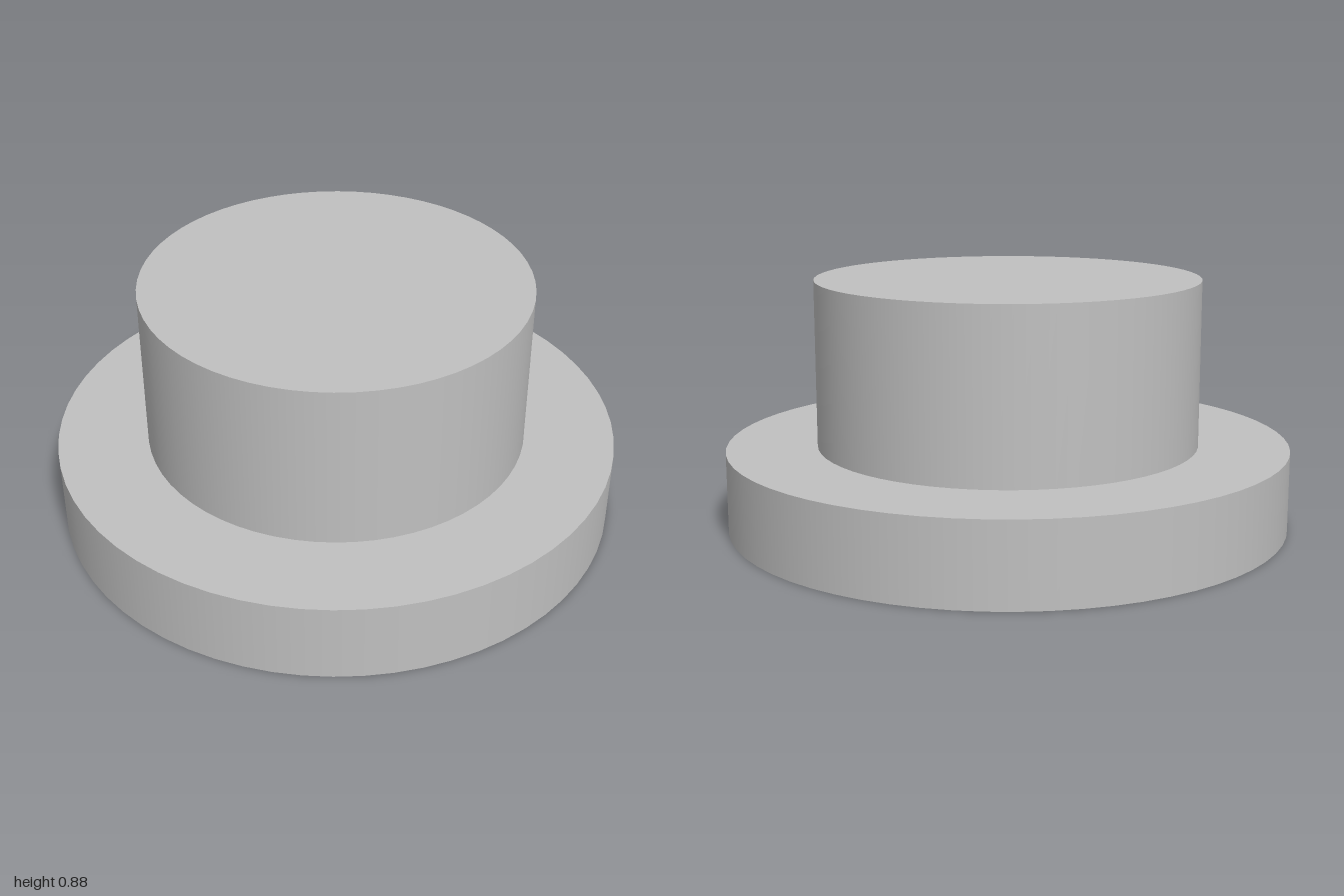
import * as THREE from 'three';

const SEG = 64;
const FLANGE_R = 1, FLANGE_TOP = 0.285;
const BOSS_R = 0.68, BOSS_TOP = 0.875;
const SOCKET_HALF = 0.4, SOCKET_DEPTH = 0.5;

export function createModel() {
  const model = new THREE.Group();
  model.name = 'flangedPlug';
  const grey = new THREE.MeshStandardMaterial({ name: 'plain grey', color: 0xc0c0c0 });

  const add = (name, geometry, parent = model) => {
    const mesh = new THREE.Mesh(geometry, grey);
    mesh.name = name;
    parent.add(mesh);
    return mesh;
  };
  const wall = (r, y0, y1) =>
    new THREE.CylinderGeometry(r, r, y1 - y0, SEG, 1, true).translate(0, (y0 + y1) / 2, 0);

  // Wide flange: rim and the upper ledge around the boss
  add('flangeRim', wall(FLANGE_R, 0, FLANGE_TOP));
  add('flangeLedge', new THREE.RingGeometry(BOSS_R, FLANGE_R, SEG)
    .rotateX(-Math.PI / 2).translate(0, FLANGE_TOP, 0));

  // Boss: side wall and flat top
  add('bossSide', wall(BOSS_R, FLANGE_TOP, BOSS_TOP));
  add('bossTop', new THREE.CircleGeometry(BOSS_R, SEG)
    .rotateX(-Math.PI / 2).translate(0, BOSS_TOP, 0));

  // Underside with a square opening
  const h = SOCKET_HALF;
  const underside = new THREE.Shape().absarc(0, 0, FLANGE_R, 0, Math.PI * 2);
  underside.holes.push(new THREE.Path([[-h, -h], [-h, h], [h, h], [h, -h]]
    .map(([x, y]) => new THREE.Vector2(x, y))));
  add('flangeUnderside', new THREE.ShapeGeometry(underside, SEG).rotateX(Math.PI / 2));

  // Blind square socket: four inward-facing walls and a ceiling
  const socket = new THREE.Group();
  socket.name = 'squareSocket';
  model.add(socket);
  for (let i = 0; i < 4; i++) {
    add('socketWall', new THREE.PlaneGeometry(2 * h, SOCKET_DEPTH)
      .translate(0, SOCKET_DEPTH / 2, -h).rotateY(i * Math.PI / 2), socket);
  }
  add('socketCeiling', new THREE.PlaneGeometry(2 * h, 2 * h)
    .rotateX(Math.PI / 2).translate(0, SOCKET_DEPTH, 0), socket);

  return model;
}
